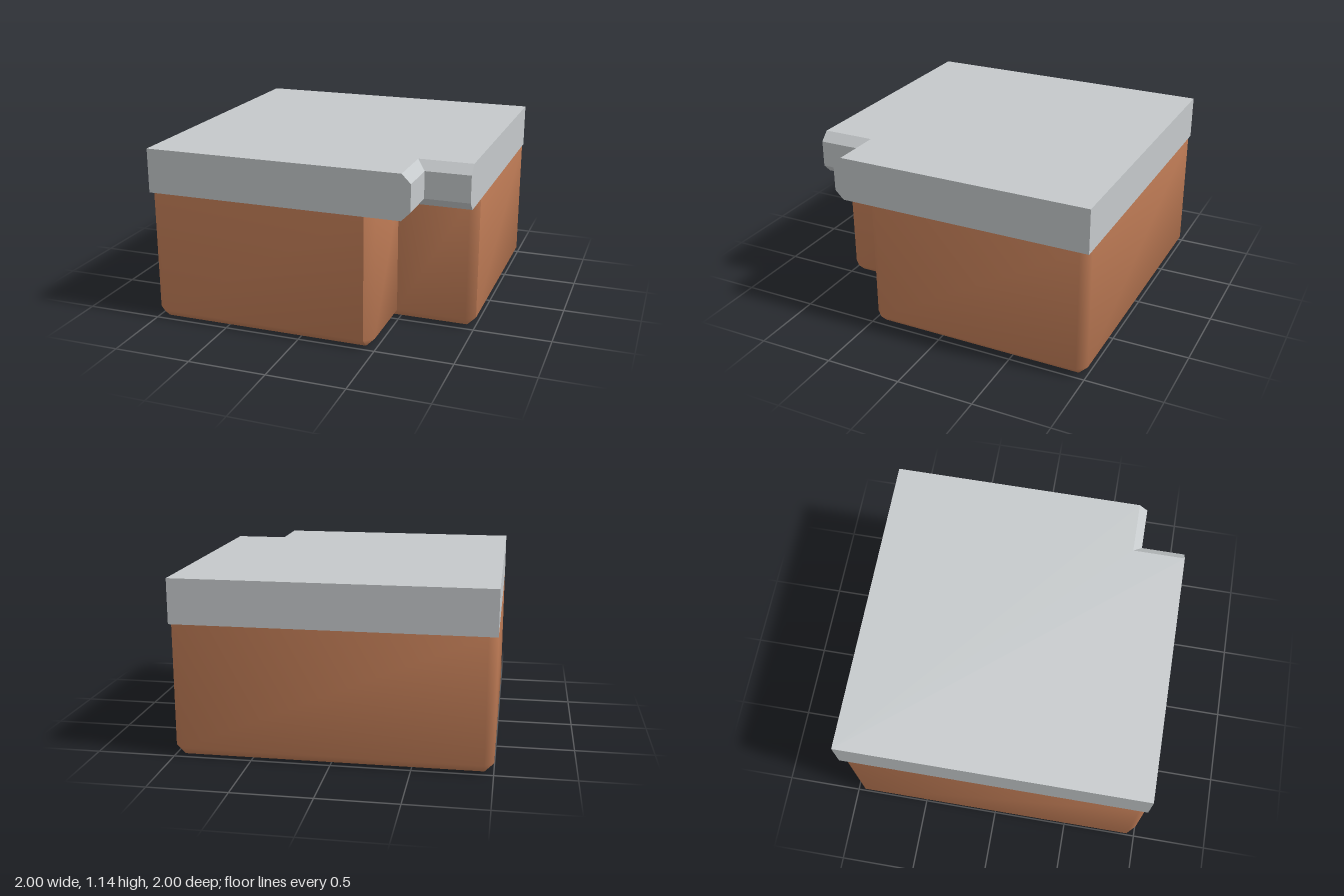
import * as THREE from 'three';

// Skins rings of [x, z] points, bottom ring first. Vertices that share a
// smoothing group and a position share one averaged normal.
function loft(rings, groupOf, capTop, capBottom) {
  const pos = [], corners = [], sums = new Map();
  const tri = (a, b, c, group) => {
    const n = b.clone().sub(a).cross(c.clone().sub(a));
    if (n.length() < 1e-6) return;
    n.normalize();
    for (const p of [a, b, c]) {
      const key = group + ':' + p.toArray().map((v) => v.toFixed(3)).join();
      if (!sums.has(key)) sums.set(key, new THREE.Vector3());
      sums.get(key).add(n);
      pos.push(p.x, p.y, p.z);
      corners.push(key);
    }
  };
  const pts = rings.map(([y, ring]) => ring.map(([x, z]) => new THREE.Vector3(x, y, z)));
  const count = pts[0].length;
  for (let r = 0; r + 1 < pts.length; r++) {
    for (let i = 0; i < count; i++) {
      const j = (i + 1) % count, g = groupOf(i, r);
      tri(pts[r][i], pts[r][j], pts[r + 1][j], g);
      tri(pts[r][i], pts[r + 1][j], pts[r + 1][i], g);
    }
  }
  const cap = (ring, group, up) => {
    const flat = ring.map((p) => new THREE.Vector2(p.x, -p.z));
    for (const [a, b, c] of THREE.ShapeUtils.triangulateShape(flat, [])) {
      if (up) tri(ring[a], ring[b], ring[c], group);
      else tri(ring[a], ring[c], ring[b], group);
    }
  };
  if (capBottom !== null) cap(pts[0], capBottom, false);
  if (capTop !== null) cap(pts[pts.length - 1], capTop, true);

  const geo = new THREE.BufferGeometry();
  const normals = corners.flatMap((key) => sums.get(key).clone().normalize().toArray());
  geo.setAttribute('position', new THREE.Float32BufferAttribute(pos, 3));
  geo.setAttribute('normal', new THREE.Float32BufferAttribute(normals, 3));
  return geo;
}

export function createModel() {
  const stone = new THREE.MeshStandardMaterial({ color: 0xc5c9cb });
  stone.name = 'greyStone';
  const wood = new THREE.MeshStandardMaterial({ color: 0xc68059 });
  wood.name = 'brownWood';
  const model = new THREE.Group();
  model.name = 'cornerCounter';

  const add = (name, geometry, material) => {
    const mesh = new THREE.Mesh(geometry, material);
    mesh.name = name;
    model.add(mesh);
  };

  // Cabinet: notched block with chamfered corners and bottom edge
  const e = 0.943, n = 0.486, m = 0.429;
  const wall = [
    [-1, -e], [-1, e], [-e, 1], [m, 1], [n, e], [n, n],
    [e, n], [1, m], [1, -e], [e, -1], [-e, -1],
  ];
  const foot = [
    [-e, -e], [-e, e], [-e, e], [m, e], [m, e], [m, m],
    [e, m], [e, m], [e, -e], [e, -e], [-e, -e],
  ];
  // The two notch walls are creased against the rest
  const bodyGroup = (i) => (i === 3 || i === 4 ? 1 : i === 5 || i === 6 ? 2 : 0);
  add('cabinet', loft([[0, foot], [0.057, wall], [0.857, wall]], bodyGroup, null, 0), wood);

  // Countertop: flat slab, bevelled only along the notch
  const slab = (c) => [[-1, -1], [-1, 1], [c, 1], [c, c], [1, c], [1, -1]];
  const inner = slab(0.657), outer = slab(0.714);
  const slabRings = [[0.857, inner], [0.914, outer], [1.086, outer], [1.143, inner]];
  add('countertop', loft(slabRings, (i, r) => `${i}-${r}`, 'top', 'bottom'), stone);

  return model;
}
